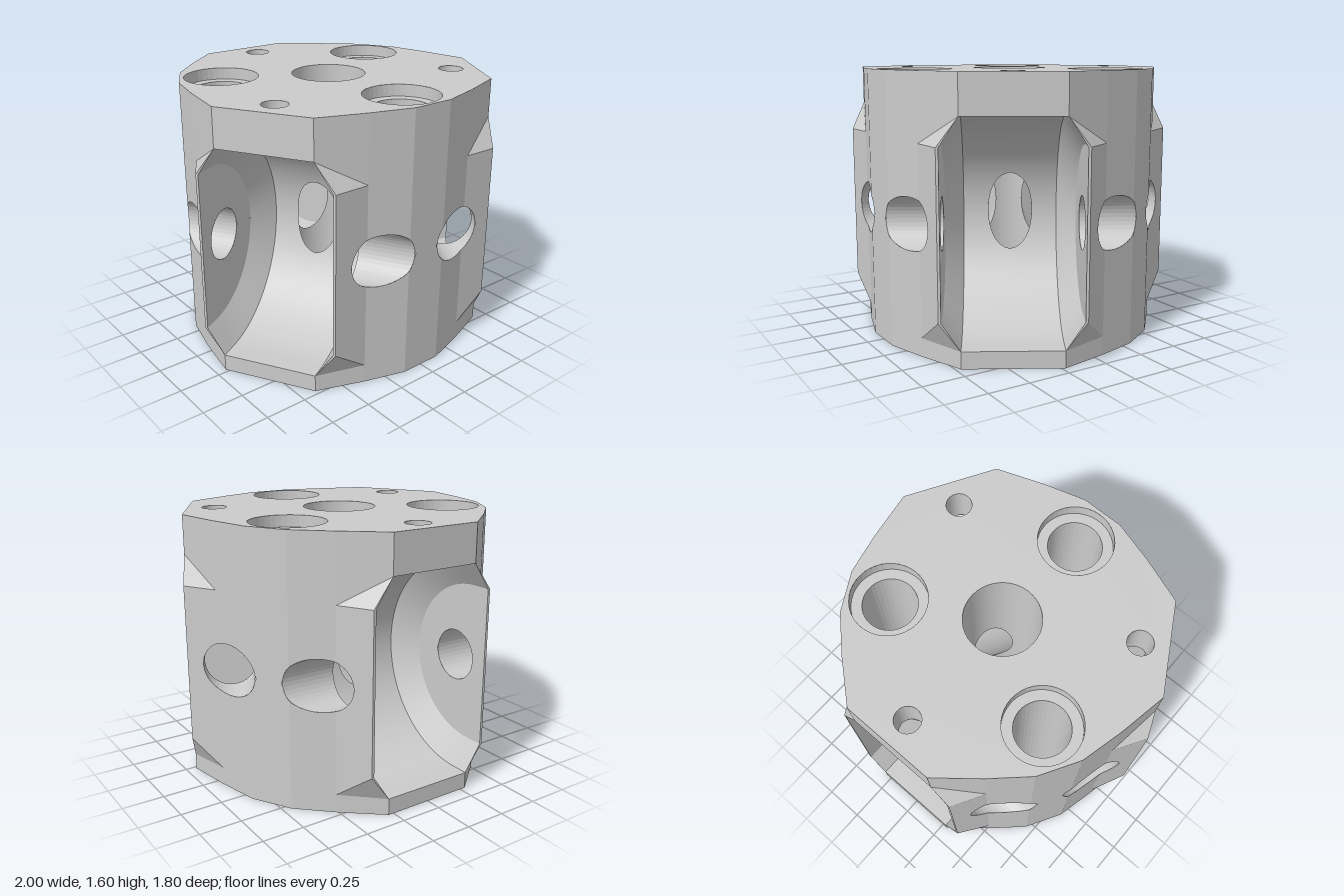
import * as THREE from 'three';

const TOP = 1.6, FACE = 0.92;                 // height, distance of the pocket faces from the axis
const BORE = 0.22, AXLE = { z: 0.67, y: 0.755, r: 0.153 };
const SCREW = { z: 0.76, r: 0.075 };
const PK = { z: 0.81, y: 0.735, R: 0.635, Rw: 0.475, flat: 0.285, wall: 0.39 }; // roller pocket
const rad = THREE.MathUtils.degToRad;
const polar = (r, deg) => [r * Math.sin(rad(deg)), r * Math.cos(rad(deg))];
const chord = (r, d) => Math.sqrt(Math.max(0, r * r - d * d));

// Plan corners of one sixth, as [x, z], with the pocket facing +z
const A = [PK.flat, FACE], E = [PK.wall, FACE], B = [0.405, FACE];
const C = polar(0.892, 35), D = polar(0.892, 51.7);
const M = polar(0.892 * Math.cos(rad(8.3)), 60);
const HI = PK.y + PK.R, LO = PK.y - PK.R;         // pocket top and bottom
const LIP_HI = PK.y + PK.Rw, LIP_LO = PK.y - PK.Rw;

const material = new THREE.MeshStandardMaterial({
  color: 0xcccccc, flatShading: true, side: THREE.DoubleSide,
});

// Collects triangles together with their mirror image across x = 0
class Surface {
  constructor() { this.p = []; }
  tri(a, b, c) {
    const m = (v) => [-v[0], v[1], v[2]];
    this.p.push(...a, ...b, ...c, ...m(a), ...m(c), ...m(b));
  }
  quad(a, b, c, d) { this.tri(a, b, c); this.tri(a, c, d); }
  // Upright wall along columns { x, z, y0, y1 }; gap(col) = { y, h } leaves an opening y +- h
  columns(cols, gap) {
    const strip = (p, q, a0, a1, b0, b1) => this.quad(
      [p.x, a0, p.z], [q.x, b0, q.z], [q.x, b1, q.z], [p.x, a1, p.z]);
    for (let i = 0; i + 1 < cols.length; i++) {
      const p = cols[i], q = cols[i + 1];
      if (!gap) { strip(p, q, p.y0, p.y1, q.y0, q.y1); continue; }
      const g = gap(p), k = gap(q);
      strip(p, q, p.y0, g.y - g.h, q.y0, k.y - k.h);
      strip(p, q, g.y + g.h, p.y1, k.y + k.h, q.y1);
    }
  }
  geometry() {
    const g = new THREE.BufferGeometry();
    g.setAttribute('position', new THREE.Float32BufferAttribute(this.p, 3));
    g.computeVertexNormals();
    return g;
  }
}

const col = ([x, z], y0, y1) => ({ x, z, y0, y1 });
const between = (p, q, n) => Array.from({ length: n + 1 }, (_, i) => {
  const t = i / n, f = (k) => p[k] + (q[k] - p[k]) * t;
  return { x: f('x'), z: f('z'), y0: f('y0'), y1: f('y1') };
});
const axleGap = (c) => ({ y: AXLE.y, h: chord(AXLE.r, c.z - AXLE.z) });

// Outer skin: body facets, lintel and sill, and the raised lips beside the pocket
function outerWall() {
  const s = new Surface();
  s.columns([...between(col(C, 0, TOP), col(D, 0, TOP), 30),
    ...between(col(D, 0, TOP), col(M, 0, TOP), 16)], axleGap);
  s.columns([col([0, FACE], HI, TOP), col(A, HI, TOP), col(C, LIP_HI, TOP)]);
  s.columns([col([0, FACE], 0, LO), col(A, 0, LO), col(C, 0, 0.11)]);
  s.columns(between(col(B, LIP_LO, LIP_HI), col(C, 0.11, LIP_HI), 24), axleGap);
  s.columns([col(E, LIP_LO, LIP_HI), col(B, LIP_LO, LIP_HI)]);
  const at = ([x, z], y) => [x, y, z];
  s.tri(at(A, HI), at(B, LIP_HI), at(C, LIP_HI));
  s.tri(at(A, LO), at(C, 0.11), at(B, LIP_LO));
  s.tri(at(A, HI), at(E, LIP_HI), at(B, LIP_HI));
  s.tri(at(A, LO), at(B, LIP_LO), at(E, LIP_LO));
  return s.geometry();
}

// Pocket: round-backed channel with tapered flanks, open to the bore and the screw hole
function pocket() {
  const s = new Surface(), rows = [], depth = FACE - PK.z;
  for (let i = 0; i < 8; i++) rows.push([depth * (1 - i / 8), 0, 1]);
  for (let i = 0; i <= 96; i++) {
    const f = Math.PI * i / 96;
    rows.push([0, -Math.sin(f), Math.cos(f)]);
  }
  for (let i = 1; i <= 4; i++) rows.push([depth * i / 4, 0, -1]);
  const point = ([e, c, v], x, R) => [x, PK.y + R * v, PK.z + e + R * c];
  const start = (row) => {
    const [, y, z] = point(row, 0, PK.R);
    return Math.max(chord(BORE, z), y > 1.2 ? chord(SCREW.r, z - SCREW.z) : 0);
  };
  for (let i = 0; i + 1 < rows.length; i++) {
    const p = rows[i], q = rows[i + 1];
    s.quad(point(p, start(p), PK.R), point(q, start(q), PK.R),
      point(q, PK.flat, PK.R), point(p, PK.flat, PK.R));
    s.quad(point(p, PK.flat, PK.R), point(q, PK.flat, PK.R),
      point(q, PK.wall, PK.Rw), point(p, PK.wall, PK.Rw));
  }
  // flat side walls with the axle opening
  const cols = [], back = PK.z - PK.Rw;
  for (let i = 0; i <= 80; i++) {
    const z = back + (FACE - back) * (i / 80) ** 1.5;
    const h = chord(PK.Rw, Math.min(0, z - PK.z));
    cols.push(col([PK.wall, z], PK.y - h, PK.y + h));
  }
  s.columns(cols, axleGap);
  return s.geometry();
}

// Axle holes from the pocket's side walls to the outer skin
function axleHole() {
  const s = new Surface(), path = [B, C, D, M], n = 40;
  const skin = (z) => {
    const i = path.findIndex((p, k) => k < 3 && z <= p[1] && z >= path[k + 1][1]);
    const [p, q] = [path[i], path[i + 1]];
    return p[0] + (q[0] - p[0]) * (z - p[1]) / (q[1] - p[1]);
  };
  const ring = (i) => {
    const f = 2 * Math.PI * i / n;
    return [AXLE.y + AXLE.r * Math.sin(f), AXLE.z + AXLE.r * Math.cos(f)];
  };
  for (let i = 0; i < n; i++) {
    const p = ring(i), q = ring(i + 1);
    s.quad([PK.wall, ...p], [PK.wall, ...q], [skin(q[1]), ...q], [skin(p[1]), ...p]);
  }
  return s.geometry();
}

// Central bore, broken through by the back of each pocket
function bore() {
  const s = new Surface(), cols = [];
  for (let i = 0; i <= 40; i++) cols.push(col(polar(BORE, 60 - i * 1.5), 0, TOP));
  s.columns(cols, (c) => ({ y: PK.y, h: chord(PK.R, PK.z - c.z) }));
  return s.geometry();
}

// End face with its round openings; up = 1 for the top, -1 for the bottom
function cap(up) {
  const pts = [];
  for (const dir of [60, 180, 300]) {
    for (const [p, side] of [[D, -1], [C, -1], [A, -1], [A, 1], [C, 1], [D, 1]]) {
      const r = Math.hypot(...p), a = side * THREE.MathUtils.radToDeg(Math.atan2(...p));
      const [x, z] = polar(r, dir + a);
      pts.push(new THREE.Vector2(x, -up * z));
    }
  }
  const shape = new THREE.Shape(pts);
  const hole = ([x, z], r) =>
    shape.holes.push(new THREE.Path().absarc(x, -up * z, r, 0, 2 * Math.PI, true));
  hole([0, 0], BORE);
  for (const dir of [60, 180, 300]) {
    hole(polar(0.64, dir + 60), 0.22);
    if (up > 0) hole(polar(SCREW.z, dir), SCREW.r);
  }
  return new THREE.ShapeGeometry(shape, 20).rotateX(-up * Math.PI / 2);
}

const lathe = (pts) => new THREE.LatheGeometry(pts.map((p) => new THREE.Vector2(...p)), 40);

export function createModel() {
  const model = new THREE.Group();
  model.name = 'rollerHub';
  const add = (parent, name, geometry, x = 0, y = 0, z = 0) => {
    const mesh = new THREE.Mesh(geometry, material);
    mesh.name = name;
    mesh.position.set(x, y, z);
    parent.add(mesh);
  };
  const parts = { outerWall: outerWall(), pocket: pocket(), axleHole: axleHole(), bore: bore() };
  const screw = lathe([[SCREW.r, TOP], [SCREW.r, HI - 0.005]]);
  const bolt = lathe([[0.22, TOP], [0.22, 1.53], [0.158, 1.53], [0.158, 0.07], [0.22, 0.07], [0.22, 0]]);

  const hub = new THREE.Group();
  hub.name = 'hub';
  hub.position.z = 0.015;
  for (const dir of [60, 180, 300]) {
    const sector = new THREE.Group();
    sector.name = 'sector';
    sector.rotation.y = rad(dir);
    for (const name in parts) add(sector, name, parts[name]);
    add(sector, 'screwHole', screw, 0, 0, SCREW.z);
    const [x, z] = polar(0.64, 60);
    add(sector, 'counterboredHole', bolt, x, 0, z);
    hub.add(sector);
  }
  add(hub, 'topFace', cap(1), 0, TOP, 0);
  add(hub, 'bottomFace', cap(-1));
  model.add(hub);
  return model;
}
